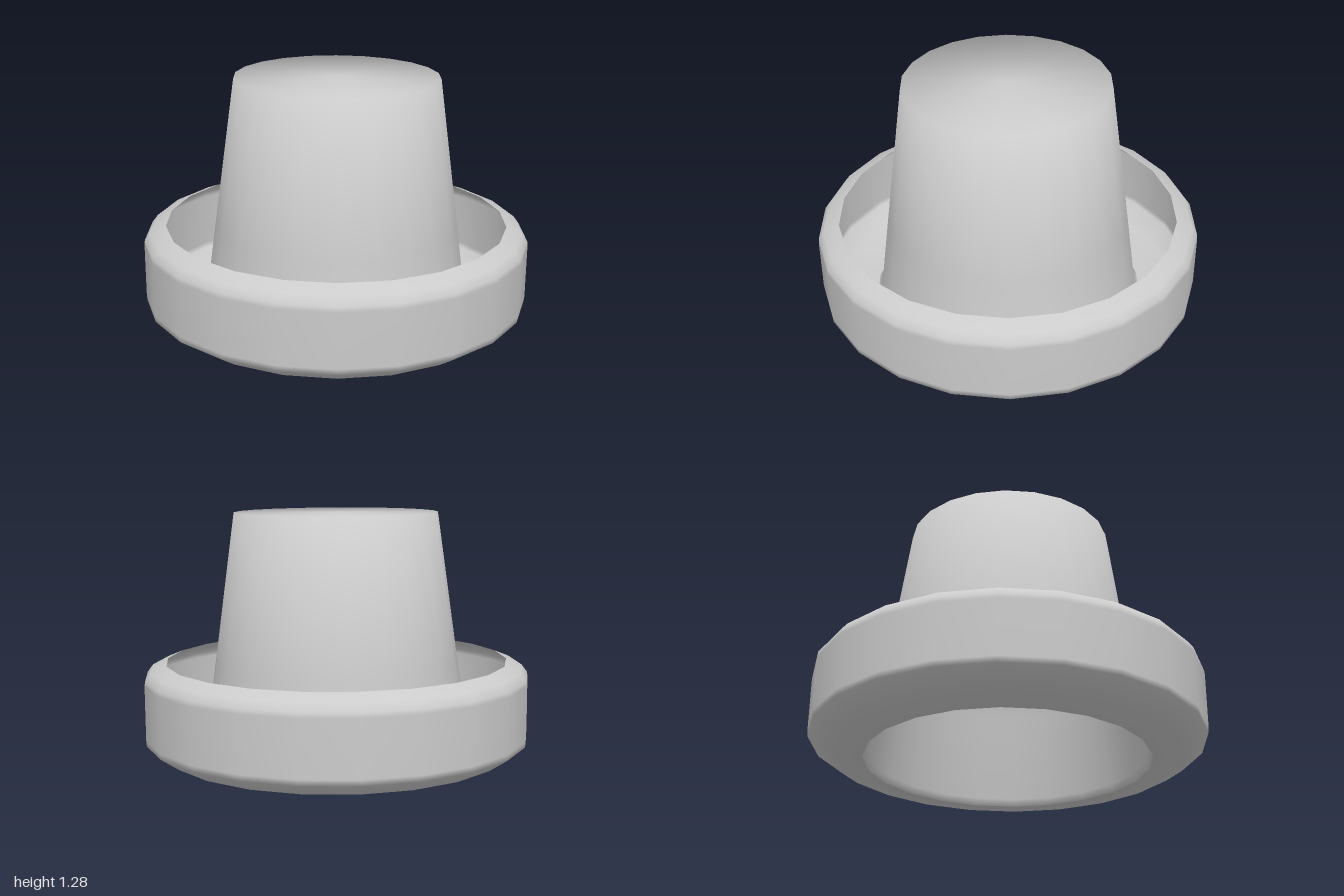
import * as THREE from 'three';

const SIDES = 22;

export function createModel() {
  const model = new THREE.Group();
  model.name = 'hat';
  const material = new THREE.MeshStandardMaterial({ color: 0xcccccc, side: THREE.DoubleSide });

  // Thin smooth shell turned around the y axis from [radius, height] points
  const addTurned = (name, profile) => {
    const points = profile.map(([r, y]) => new THREE.Vector2(r, y));
    const mesh = new THREE.Mesh(new THREE.LatheGeometry(points, SIDES), material);
    mesh.name = name;
    model.add(mesh);
  };

  // Tapered crown, open below, with a flat softly shaded top
  addTurned('crown', [
    [0.72, 0.017], [0.695, 0.05], [0.632, 0.51], [0.525, 1.28], [0, 1.28],
  ]);

  // Upturned brim: flat floor, rounded lower edge, upright wall, lip leaning in
  addTurned('brim', [
    [0.72, 0.017], [0.76, 0.018], [0.9, 0.045], [0.995, 0.11],
    [0.998, 0.14], [0.998, 0.42], [0.995, 0.445], [0.965, 0.485], [0.885, 0.517],
  ]);

  // The hat sits very slightly tilted
  model.rotation.z = -0.011;
  return model;
}
